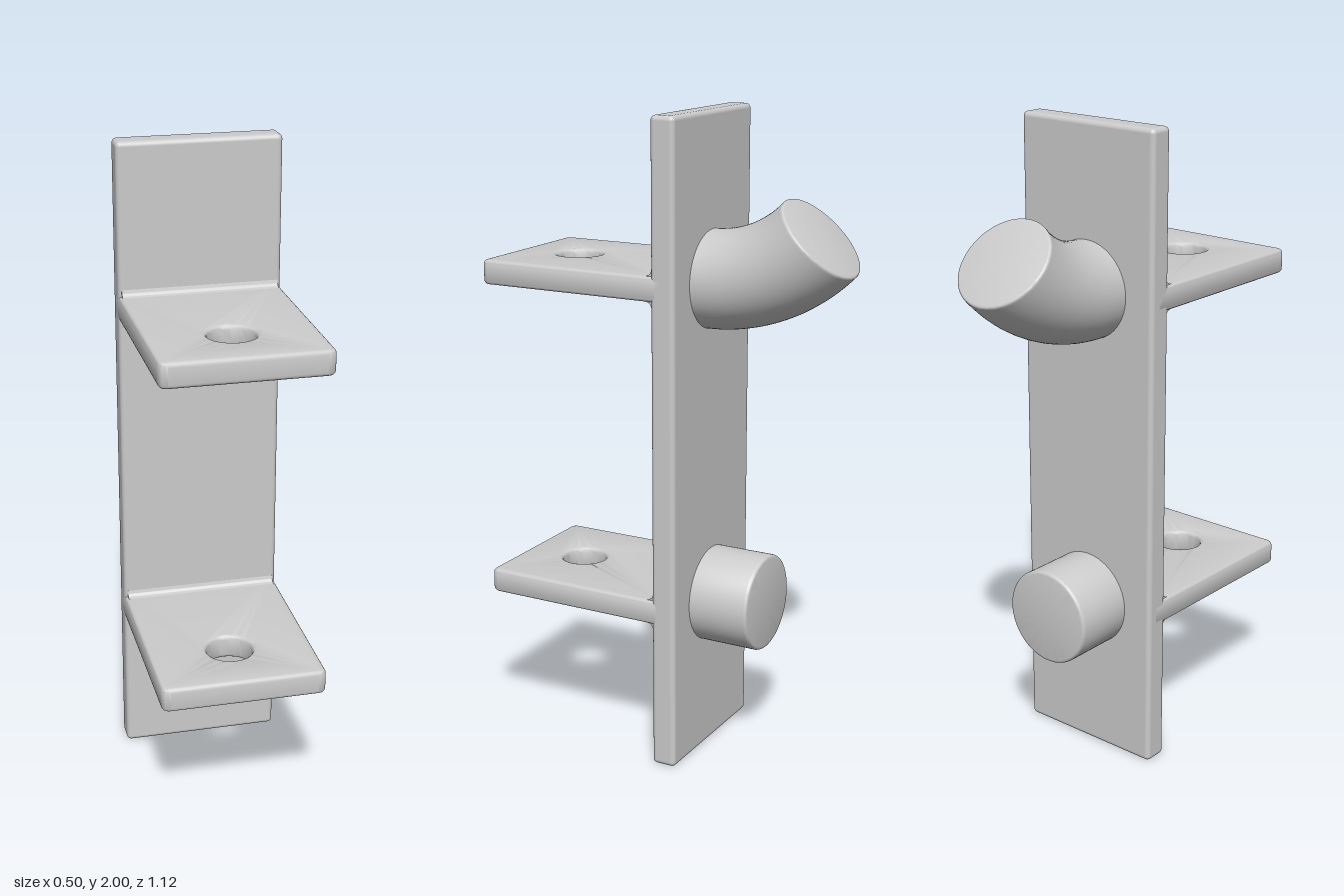
import * as THREE from 'three';
import { toCreasedNormals } from 'three/addons/utils/BufferGeometryUtils.js';
import { RoundedBoxGeometry } from 'three/addons/geometries/RoundedBoxGeometry.js';

const material = new THREE.MeshStandardMaterial({ color: 0xcccccc });
const HALF_W = 0.248, PLATE_FRONT = -0.03, PLATE_BACK = -0.108, PEG_R = 0.15;

function part(name, geometry, parent) {
  const mesh = new THREE.Mesh(geometry, material);
  mesh.name = name;
  parent.add(mesh);
  return mesh;
}

// Round bar along +y from 0 to length, with a softened rim and closed end
function roundEnd(length, rim) {
  const profile = [new THREE.Vector2(PEG_R, 0)];
  for (let i = 0; i <= 4; i++) {
    const a = (i / 4) * Math.PI / 2;
    profile.push(new THREE.Vector2(PEG_R - rim + rim * Math.cos(a), length - rim + rim * Math.sin(a)));
  }
  profile.push(new THREE.Vector2(0, length));
  return toCreasedNormals(new THREE.LatheGeometry(profile, 64), 0.5);
}

// Flat tab with a soft-edged screw hole; the back edge is buried in the plate
function shelfGeometry() {
  const b = 0.014, x = HALF_W - b, front = 0.56 - b, back = -0.06, r = 0.012;
  const shape = new THREE.Shape();
  shape.moveTo(-x, -back);
  shape.lineTo(-x, -front + r);
  shape.quadraticCurveTo(-x, -front, -x + r, -front);
  shape.lineTo(x - r, -front);
  shape.quadraticCurveTo(x, -front, x, -front + r);
  shape.lineTo(x, -back);
  shape.closePath();
  const hole = new THREE.Path();
  hole.absarc(0, -0.36, 0.07 + b, 0, Math.PI * 2, true);
  shape.holes.push(hole);
  const geo = new THREE.ExtrudeGeometry(shape, {
    depth: 0.076 - 2 * b, bevelThickness: b, bevelSize: b, bevelSegments: 4, curveSegments: 24,
  });
  geo.translate(0, 0, b - 0.038);
  geo.rotateX(-Math.PI / 2);
  return toCreasedNormals(geo, 0.6);
}

// Concave strip between the plate and a shelf
function filletGeometry() {
  const r = 0.02, w = 2 * HALF_W - 0.02;
  const shape = new THREE.Shape();
  shape.moveTo(-0.005, -0.005);
  shape.lineTo(r, -0.005);
  shape.lineTo(r, 0);
  shape.absarc(r, r, r, -Math.PI / 2, -Math.PI, true);
  shape.lineTo(-0.005, r);
  shape.closePath();
  const geo = new THREE.ExtrudeGeometry(shape, { depth: w, bevelEnabled: false, curveSegments: 8 });
  geo.translate(0, 0, -w / 2);
  geo.rotateY(-Math.PI / 2);
  return toCreasedNormals(geo, 0.6);
}

export function createModel() {
  const model = new THREE.Group();
  model.name = 'wallBracket';

  // Upright plate
  const thickness = PLATE_FRONT - PLATE_BACK;
  part('backPlate', new RoundedBoxGeometry(2 * HALF_W, 2, thickness, 4, 0.015), model)
    .position.set(0, 1, (PLATE_FRONT + PLATE_BACK) / 2);

  // Two drilled shelves with fillets above and below
  const shelf = shelfGeometry(), fillet = filletGeometry();
  for (const [name, y] of [['lowerShelf', 0.503], ['upperShelf', 1.503]]) {
    const group = new THREE.Group();
    group.name = name;
    group.position.y = y;
    part('shelfTab', shelf, group);
    for (const side of [1, -1]) {
      const strip = part('shelfFillet', fillet, group);
      strip.position.set(0, side * 0.038, PLATE_FRONT);
      if (side < 0) strip.rotation.z = Math.PI;
    }
    model.add(group);
  }

  // Straight lower peg
  const peg = part('lowerPeg', roundEnd(0.212, 0.01), model);
  peg.position.set(0, 0.503, -0.09);
  peg.rotation.x = -Math.PI / 2;

  // Upper hook: a 45 degree elbow that bends upward, and its end cap
  const bend = 0.485, sweep = Math.PI / 4;
  const hook = new THREE.Group();
  hook.name = 'upperHook';
  part('hookElbow', new THREE.TorusGeometry(bend, PEG_R, 64, 24, sweep), hook);
  const cap = part('hookEnd', roundEnd(0.01, 0.007), hook);
  cap.position.set(bend * Math.cos(sweep), bend * Math.sin(sweep), 0);
  cap.rotation.z = sweep;
  hook.setRotationFromMatrix(new THREE.Matrix4().makeBasis(
    new THREE.Vector3(0, -1, 0), new THREE.Vector3(0, 0, -1), new THREE.Vector3(1, 0, 0)));
  hook.position.set(0, 1.503 + bend, PLATE_BACK);
  model.add(hook);

  return model;
}
